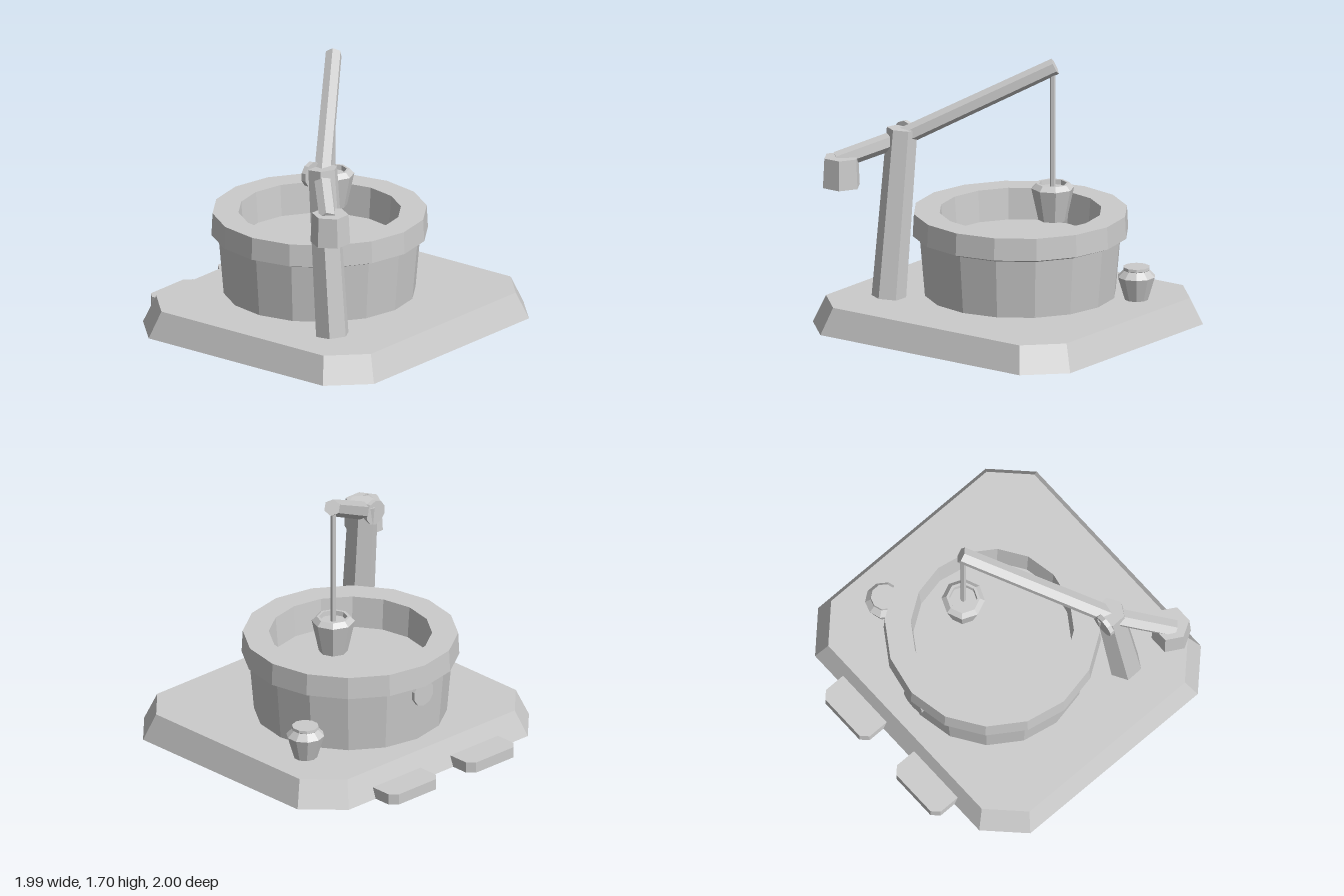
import * as THREE from 'three';

const stone = new THREE.MeshStandardMaterial({ color: 0xcccccc, side: THREE.DoubleSide });
stone.name = 'pale grey';

const V = (x, y, z) => new THREE.Vector3(x, y, z);

// Faceted mesh with hard edges
function part(name, geometry) {
  const g = geometry.index ? geometry.toNonIndexed() : geometry;
  g.computeVertexNormals();
  const mesh = new THREE.Mesh(g, stone);
  mesh.name = name;
  return mesh;
}

// Faceted turned shape; the profile runs up the outside, then inward
function turned(name, profile, sides, x, z) {
  const pts = profile.map(([r, y]) => new THREE.Vector2(r, y));
  const mesh = part(name, new THREE.LatheGeometry(pts, sides));
  mesh.position.set(x, 0, z);
  return mesh;
}

// Tapered pole between two points
function pole(name, a, b, ra, rb, sides) {
  const mesh = part(name, new THREE.CylinderGeometry(rb, ra, a.distanceTo(b), sides));
  mesh.position.copy(a).add(b).multiplyScalar(0.5);
  mesh.quaternion.setFromUnitVectors(V(0, 1, 0), b.clone().sub(a).normalize());
  return mesh;
}

// Loop round a rectangle with cut corners at one height
function octagon(hx, hz, cut, y) {
  const ix = hx - cut, iz = hz - cut;
  return [[ix, hz], [hx, iz], [hx, -iz], [ix, -hz], [-ix, -hz], [-hx, -iz], [-hx, iz], [-ix, hz]]
    .map(([x, z]) => V(x, y, z));
}

// Hollow slab, open underneath: walls between two loops and a top
function slab(name, low, high) {
  const top = V(0, high[0].y, 0);
  const pts = low.flatMap((a, i) => {
    const j = (i + 1) % low.length;
    return [a, low[j], high[j], a, high[j], high[i], top, high[i], high[j]];
  });
  return part(name, new THREE.BufferGeometry().setFromPoints(pts));
}

export function createModel() {
  const model = new THREE.Group();
  model.name = 'well';

  // Sloped platform
  const base = slab('platform', octagon(0.995, 0.92, 0.225, 0), octagon(0.93, 0.855, 0.21, 0.17));
  base.position.z = 0.08;
  model.add(base);

  // Two steps at the back
  for (const side of [-1, 1]) {
    const step = slab('step', octagon(0.205, 0.135, 0.045, 0), octagon(0.205, 0.135, 0.045, 0.07));
    step.position.set(side * 0.333, 0, -0.865);
    model.add(step);
  }

  // Basin wall, overhanging rim and floor
  model.add(turned('basin', [
    [0.60, 0.17], [0.632, 0.54], [0.677, 0.558], [0.670, 0.70],
    [0.508, 0.70], [0.492, 0.50], [0, 0.50]], 16, 0, -0.05));

  // Round plate hanging on the back of the basin
  const plate = part('backPlate', new THREE.CylinderGeometry(0.085, 0.085, 0.02, 10));
  plate.rotation.x = Math.PI / 2;
  plate.position.set(0, 0.505, -0.70);
  model.add(plate);

  // Leaning post and its pivot
  model.add(pole('post', V(-0.592, 0.17, 0.525), V(-0.563, 1.24, 0.425), 0.108, 0.096, 6));
  const pivot = part('pivot', new THREE.CylinderGeometry(0.08, 0.08, 0.03, 10));
  pivot.rotation.x = Math.PI / 2;
  pivot.position.set(-0.59, 1.19, 0.355);
  model.add(pivot);

  // Lifting arm, bent slightly at the pivot
  const elbow = V(-0.57, 1.18, 0.43);
  model.add(pole('longArm', elbow, V(0.22, 1.65, -0.115), 0.058, 0.053, 6));
  model.add(pole('shortArm', V(-0.86, 1.045, 0.705), elbow, 0.057, 0.058, 6));

  // Counterweight
  const weight = turned('counterweight', [
    [0, 0.885], [0.125, 0.885], [0.115, 1.075], [0, 1.075]], 6, -0.83, 0.70);
  weight.rotation.y = Math.PI / 6;
  model.add(weight);

  // Rope and hanging bucket
  model.add(pole('rope', V(0.205, 0.86, -0.11), V(0.205, 1.64, -0.11), 0.018, 0.018, 6));
  model.add(turned('bucket', [
    [0, 0.66], [0.09, 0.66], [0.135, 0.865], [0.105, 0.895],
    [0.088, 0.895], [0.084, 0.865], [0, 0.865]], 8, 0.205, -0.11));

  // Lidded jar
  model.add(turned('jar', [
    [0, 0.17], [0.075, 0.17], [0.12, 0.318], [0.08, 0.358],
    [0.086, 0.362], [0.084, 0.38], [0, 0.38]], 10, 0.675, -0.35));

  return model;
}
